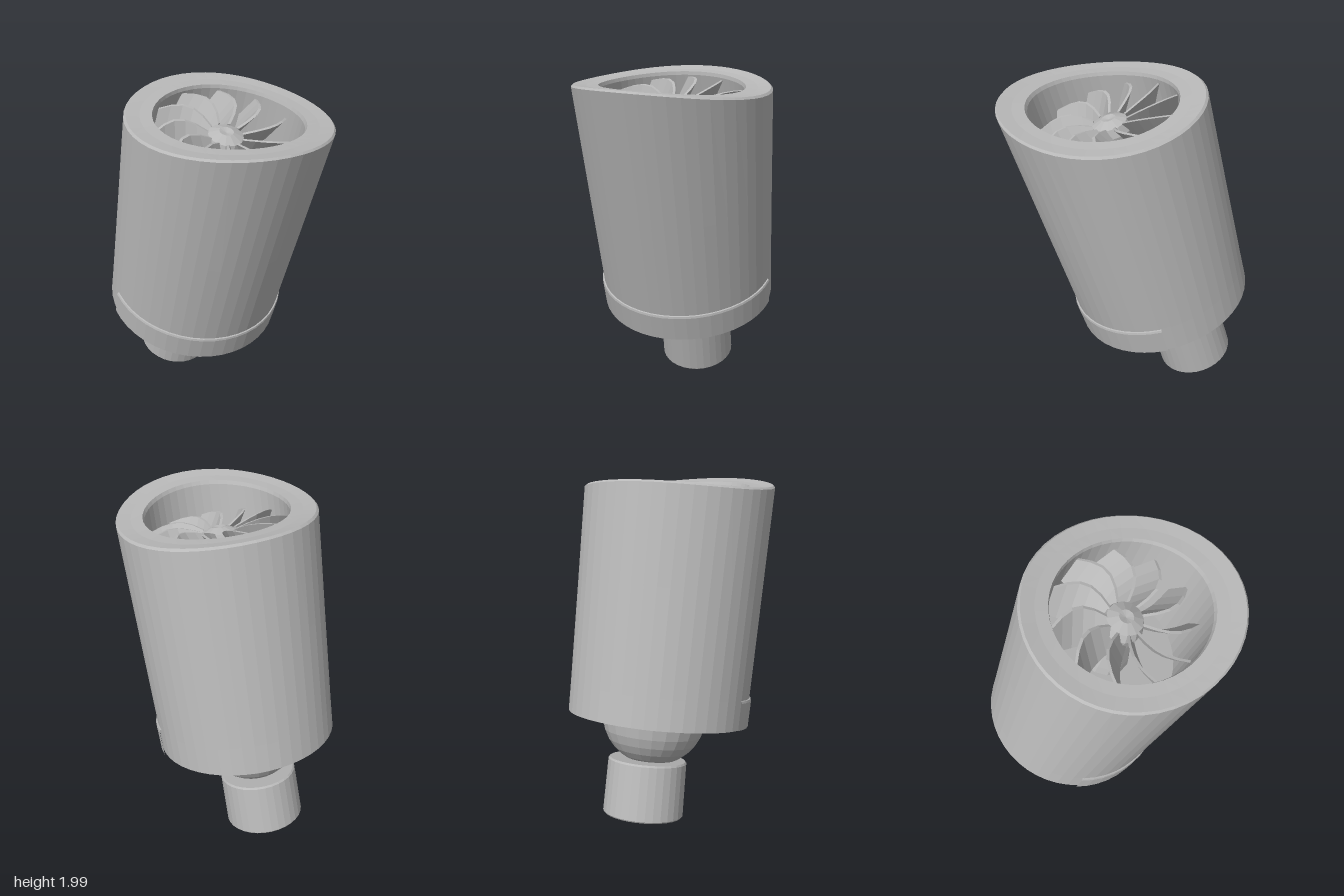
import * as THREE from 'three';

const V2 = (p) => new THREE.Vector2(p[0], p[1]);
const UP = new THREE.Vector3(0, 1, 0);

export function createModel() {
  const model = new THREE.Group();
  model.name = 'swivelNozzle';
  const grey = new THREE.MeshStandardMaterial({ color: 0xb8b8b8, flatShading: true });
  grey.name = 'plainGrey';

  const add = (parent, name, geometry) => {
    const mesh = new THREE.Mesh(geometry, grey);
    mesh.name = name;
    parent.add(mesh);
    return mesh;
  };
  const lathe = (points, sides, start = 0, sweep = Math.PI * 2) =>
    new THREE.LatheGeometry(points.map(V2), sides, start, sweep);
  // group whose local y runs along a leaning axis
  const leaning = (name, base, axis) => {
    const g = new THREE.Group();
    g.name = name;
    g.position.set(...base);
    g.quaternion.setFromUnitVectors(UP, new THREE.Vector3(...axis).normalize());
    model.add(g);
    return g;
  };

  const head = leaning('head', [-0.04, 0.595, -0.205], [0.04, 1, 0.268]);

  // barrel: open at the top, closed floor, lipped socket underneath
  const RIM = 1.36;
  const barrel = lathe([
    [0, 0.05], [0.33, 0.05], [0.335, -0.02], [0.365, -0.025], [0.375, -0.015], [0.375, 0],
    [0.528, 0], [0.53, 0.17], [0.541, 0.75], [0.553, RIM - 0.012], [0.542, RIM],
    [0.47, RIM - 0.003], [0.405, RIM], [0.398, RIM - 0.02], [0.4, 0.85], [0, 0.85],
  ], 48);
  // the mouth is cut along a dished slope, lower at the back
  const p = barrel.attributes.position;
  for (let i = 0; i < p.count; i++) {
    if (p.getY(i) < RIM - 0.1) continue;
    const z = p.getZ(i);
    p.setY(i, p.getY(i) + 0.205 * z + 0.17 * z * z);
  }
  barrel.computeVertexNormals();
  add(head, 'barrel', barrel);

  // raised collar around the front half of the lower edge
  add(head, 'frontCollar', lathe([
    [0.526, 0.001], [0.538, 0.001], [0.542, 0.155], [0.538, 0.167], [0.526, 0.169],
  ], 24, -1.6, 3.2));

  // rotor hub on a shaft standing on the floor
  add(head, 'rotorHub', lathe([
    [0.14, 0.85], [0.13, 0.9], [0.09, 1.05], [0.115, 1.2], [0.1, 1.25], [0.04, 1.275], [0, 1.265],
  ], 12));

  // curved, leaning rotor blades
  const BLADES = 11;
  const blade = new THREE.BoxGeometry(0.3, 0.17, 0.016, 5, 3, 1);
  const b = blade.attributes.position;
  for (let i = 0; i < b.count; i++) {
    const t = b.getX(i) / 0.3 + 0.5;
    const y = b.getY(i) * (0.6 + 0.6 * Math.sin(Math.PI * (0.1 + 0.8 * t)));
    b.setXYZ(i, 0.09 + 0.3 * t, 1.19 + y + 0.02 * t, b.getZ(i) + y * 0.55 + 0.04 * Math.sin(Math.PI * t));
  }
  blade.computeVertexNormals();
  for (let i = 0; i < BLADES; i++) {
    add(head, 'rotorBlade', blade).rotation.y = (i / BLADES) * Math.PI * 2 + Math.PI / 2 + 0.28;
  }

  // swivel ball
  const ball = add(model, 'swivelBall', new THREE.SphereGeometry(0.31, 24, 16));
  ball.position.set(-0.045, 0.635, -0.245);
  ball.quaternion.copy(head.quaternion);

  // hollow inlet pipe with a stepped bore
  const inlet = leaning('inlet', [-0.075, 0.068, -0.435], [0.06, 1, 0.285]);
  add(inlet, 'inletPipe', lathe([
    [0, 0.24], [0.135, 0.24], [0.14, 0.08], [0.165, 0.075], [0.168, 0.005], [0.175, 0],
    [0.228, 0], [0.235, 0.008], [0.23, 0.315], [0.222, 0.325], [0, 0.325],
  ], 32));

  return model;
}
